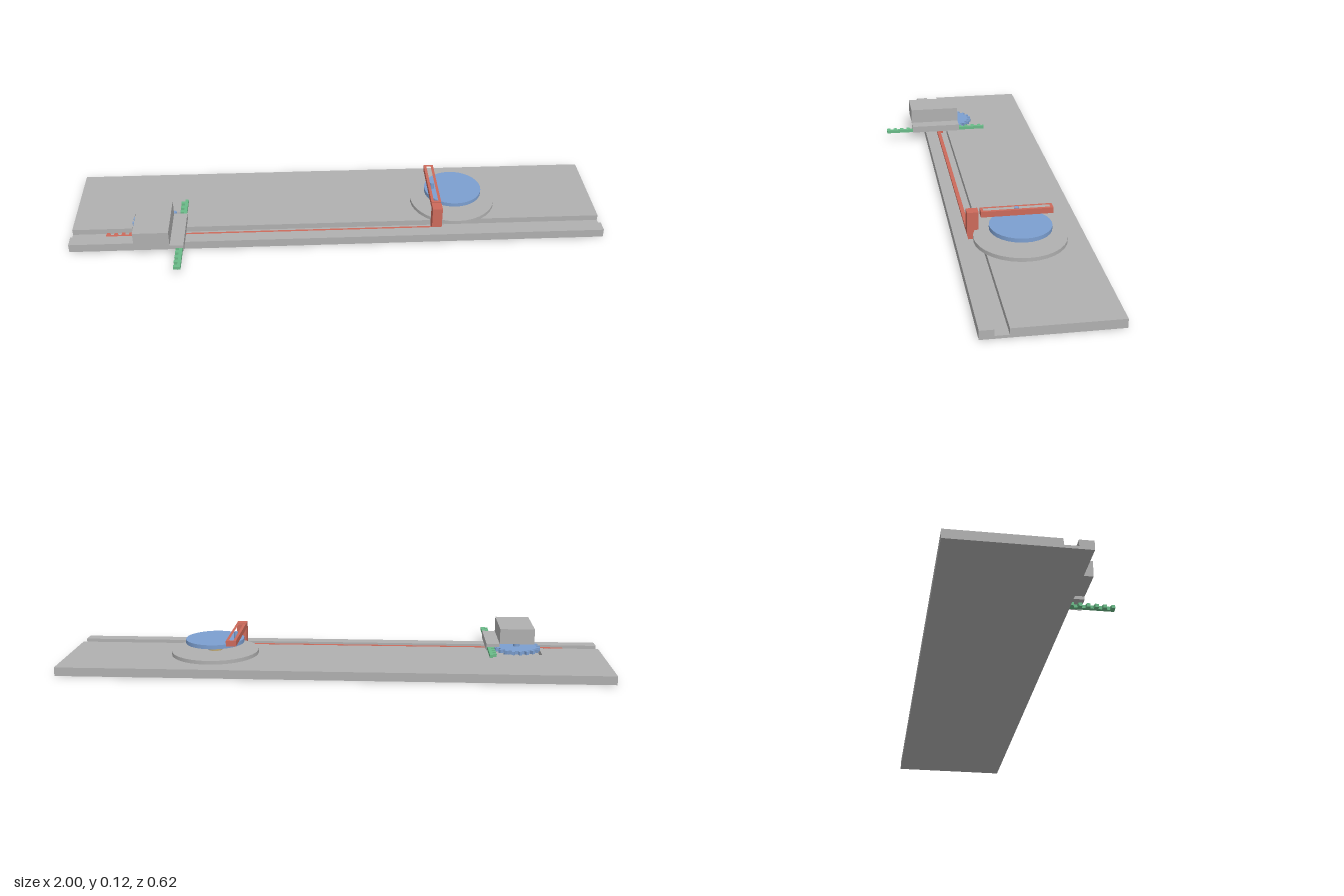
import * as THREE from 'three';

const mat = (name, color) => {
  const m = new THREE.MeshStandardMaterial({ color });
  m.name = name;
  return m;
};

export function createModel() {
  const model = new THREE.Group();
  model.name = 'rackAndCrankMechanism';
  const grey = mat('grey', 0xb0b0b0);
  const red = mat('red', 0xcc6a5b);
  const blue = mat('blue', 0x7c9fd0);
  const green = mat('green', 0x6abb88);
  const tan = mat('tan', 0xc0aa76);

  const add = (parent, name, geometry, material) => {
    const mesh = new THREE.Mesh(geometry, material);
    mesh.name = name;
    parent.add(mesh);
    return mesh;
  };
  const group = (name) => {
    const g = new THREE.Group();
    g.name = name;
    model.add(g);
    return g;
  };
  // box given by its limits on each axis
  const box = (parent, name, material, [x0, x1], [y0, y1], [z0, z1]) => {
    const m = add(parent, name, new THREE.BoxGeometry(x1 - x0, y1 - y0, z1 - z0), material);
    m.position.set((x0 + x1) / 2, (y0 + y1) / 2, (z0 + z1) / 2);
    return m;
  };
  // upright cylinder given by centre, radius and height limits
  const disc = (parent, name, material, x, z, r, y0, y1, sides = 32) => {
    const m = add(parent, name, new THREE.CylinderGeometry(r, r, y1 - y0, sides), material);
    m.position.set(x, (y0 + y1) / 2, z);
    return m;
  };
  // plan outline of [x, z] points raised from y0 to y1, with optional holes
  const plate = (parent, name, material, points, y0, y1, holes = []) => {
    const toVectors = (list) => list.map(([x, z]) => new THREE.Vector2(x, -z));
    const shape = new THREE.Shape(toVectors(points));
    holes.forEach((h) => shape.holes.push(new THREE.Path(toVectors(h))));
    const geo = new THREE.ExtrudeGeometry(shape, { depth: y1 - y0, bevelEnabled: false });
    geo.rotateX(-Math.PI / 2);
    geo.translate(0, y0, 0);
    return add(parent, name, geo, material);
  };
  const rect = (x0, x1, z0, z1) => [[x0, z0], [x1, z0], [x1, z1], [x0, z1]];

  // base with a long groove and a pocket beneath the gear
  const base = group('base');
  box(base, 'baseFloor', grey, [-1, 1], [0, 0.01], [-0.31, 0.143]);
  plate(base, 'baseDeck', grey, [
    [-1, -0.31], [1, -0.31], [1, 0.05], [-0.6, 0.05],
    [-0.6, -0.045], [-0.775, -0.045], [-0.775, 0.05], [-1, 0.05],
  ], 0.01, 0.032);
  box(base, 'grooveLip', grey, [-1, 1], [0.01, 0.032], [0.096, 0.143]);

  // toothed gear outline
  const gear = (parent, name, x, z, root, tip, count, y0, y1) => {
    const points = [];
    for (let i = 0; i < count; i++) {
      [[0, root], [0.5, root], [0.56, tip], [0.94, tip]].forEach(([t, r]) => {
        const a = ((i + t) / count) * Math.PI * 2;
        points.push([x + r * Math.cos(a), z + r * Math.sin(a)]);
      });
    }
    plate(parent, name, blue, points, y0, y1);
  };
  const drive = group('gearDrive');
  gear(drive, 'largeGear', -0.685, 0.024, 0.076, 0.09, 20, 0.034, 0.047);
  gear(drive, 'pinion', -0.685, 0.024, 0.034, 0.046, 10, 0.011, 0.034);
  disc(drive, 'gearShaft', blue, -0.685, 0.024, 0.012, 0.047, 0.06, 20);

  // motor block and rack guide
  const housing = group('motorHousing');
  box(housing, 'motorBlock', grey, [-0.75, -0.62], [0.06, 0.118], [0, 0.2]);
  box(housing, 'guideRoof', grey, [-0.62, -0.57], [0.048, 0.06], [0, 0.2]);
  box(housing, 'guideWall', grey, [-0.573, -0.57], [0.034, 0.06], [0, 0.2]);

  // cross rack, teeth towards the gear
  const crossRack = [[-0.574, -0.11], [-0.574, 0.31], [-0.586, 0.31]];
  const pitch = 0.028;
  for (let i = 0; i < 15; i++) {
    const z = 0.31 - i * pitch;
    crossRack.push([-0.6, z - 0.002], [-0.6, z - 0.014], [-0.586, z - 0.016], [-0.586, z - pitch]);
  }
  plate(group('crossRack'), 'crossRackBar', green, crossRack, 0.035, 0.047);

  // sliding rod with a toothed end
  const slider = group('slider');
  const rod = [[0.39, 0.078], [0.39, 0.092], [-0.87, 0.092], [-0.87, 0.078]];
  for (let i = 0; i < 10; i++) {
    const x = -0.87 + i * pitch;
    rod.push([x + 0.002, 0.065], [x + 0.014, 0.065], [x + 0.016, 0.078], [x + pitch, 0.078]);
  }
  plate(slider, 'sliderRod', red, rod, 0.011, 0.025);
  box(slider, 'sliderPost', red, [0.355, 0.392], [0.011, 0.113], [0.054, 0.095]);
  plate(slider, 'slottedBar', red, rect(0.355, 0.392, -0.21, 0.046), 0.092, 0.113,
    [rect(0.365, 0.382, -0.2, 0.036)]);

  // turntable crank with drive pin
  const crank = group('crank');
  disc(crank, 'turntableFoot', grey, 0.453, -0.082, 0.163, 0.032, 0.046);
  disc(crank, 'crankColumn', tan, 0.453, -0.082, 0.027, 0.046, 0.075);
  disc(crank, 'crankDisc', blue, 0.453, -0.082, 0.109, 0.075, 0.09);
  disc(crank, 'crankPin', blue, 0.3735, -0.082, 0.008, 0.09, 0.115, 20);

  return model;
}
